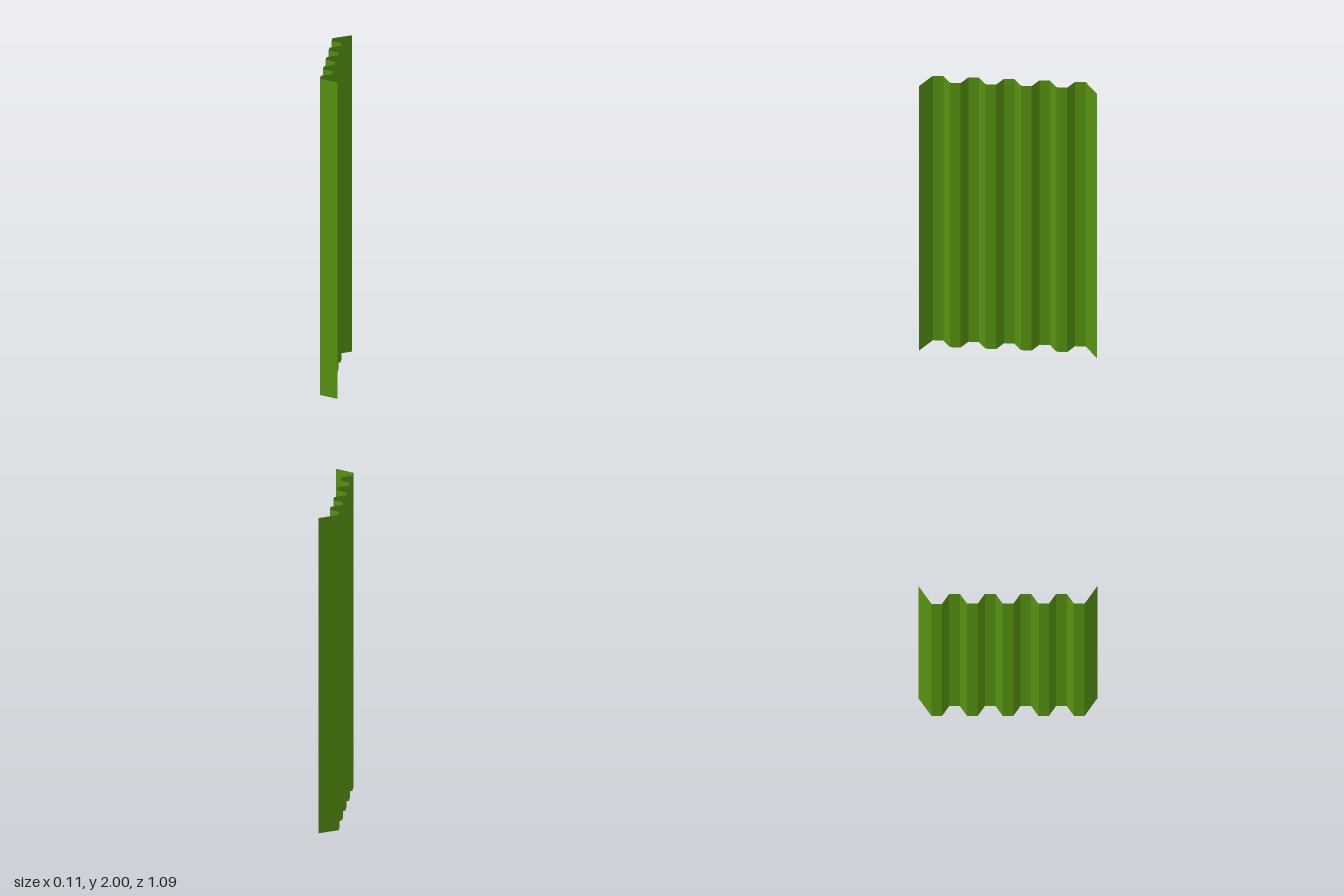
import * as THREE from 'three';

const HEIGHT = 2;
const FLATS = 9;          // flat strips between the sloped ones
const PITCH = 0.1086;     // spacing of the flats along z
const FLAT = 0.065;       // width of one flat
const LOW = -0.057, MID = 0.007, HIGH = 0.057;

// Zigzag cross-section as [x, z], from the front edge to the back edge
function sheetProfile() {
  const points = [[HIGH, 0.545]];
  for (let i = 0; i < FLATS; i++) {
    const x = i % 2 ? MID : LOW;
    const z = ((FLATS - 1) / 2 - i) * PITCH;
    points.push([x, z + FLAT / 2], [x, z - FLAT / 2]);
  }
  points.push([HIGH, -0.545]);
  return points;
}

export function createModel() {
  const group = new THREE.Group();
  group.name = 'corrugatedPanel';

  // Thin sheet: the profile raised straight up, one quad per strip
  const profile = sheetProfile();
  const positions = [];
  for (let i = 0; i < profile.length - 1; i++) {
    const [x0, z0] = profile[i];
    const [x1, z1] = profile[i + 1];
    positions.push(
      x0, 0, z0, x1, 0, z1, x1, HEIGHT, z1,
      x0, 0, z0, x1, HEIGHT, z1, x0, HEIGHT, z0
    );
  }
  const geometry = new THREE.BufferGeometry();
  geometry.setAttribute('position', new THREE.Float32BufferAttribute(positions, 3));
  geometry.computeVertexNormals();

  const material = new THREE.MeshStandardMaterial({
    color: 0x559010, flatShading: true, side: THREE.DoubleSide,
  });
  const sheet = new THREE.Mesh(geometry, material);
  sheet.name = 'corrugatedSheet';
  group.add(sheet);
  return group;
}
